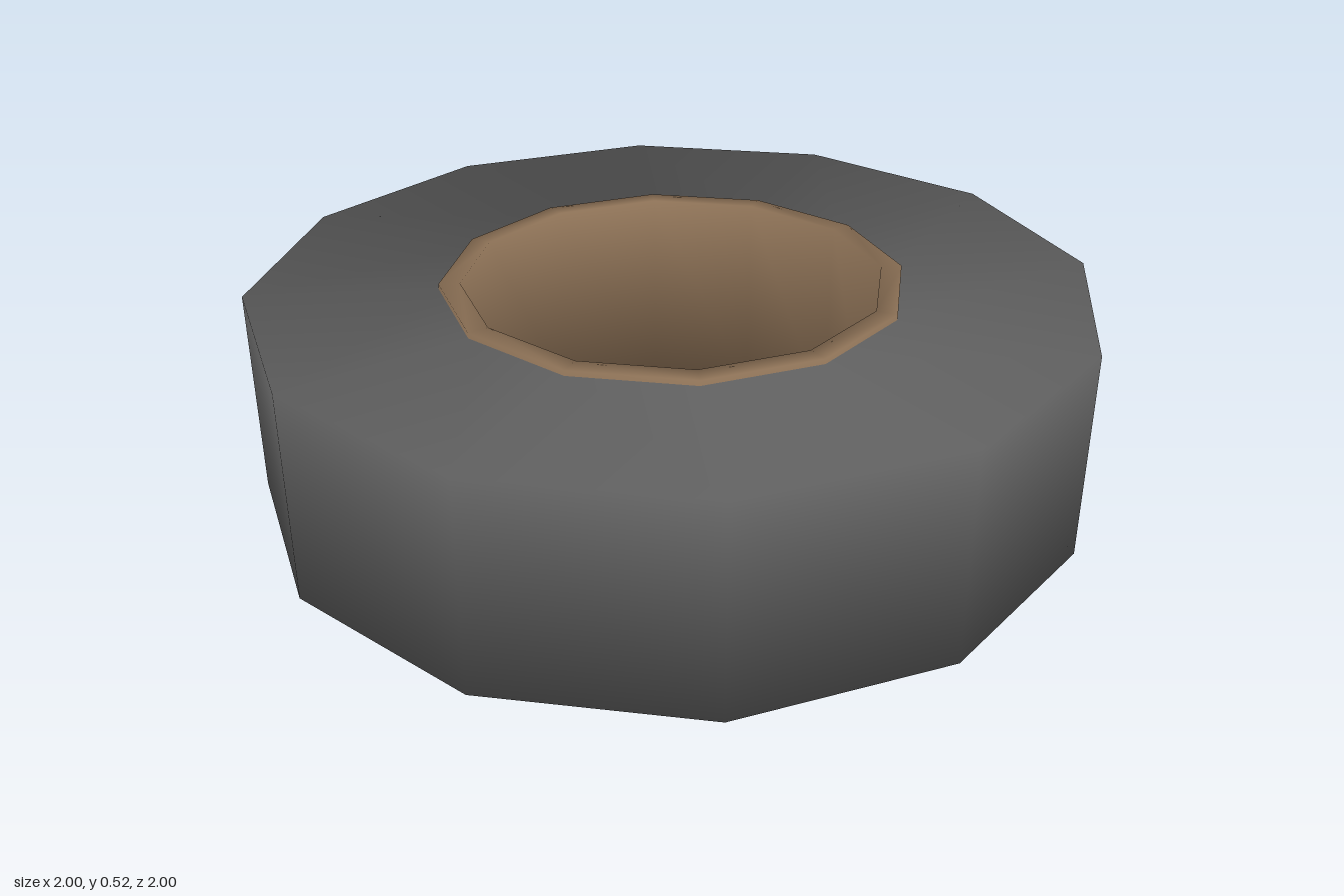
import * as THREE from 'three';

const SIDES = 12;

// Revolves a profile of [radius, y, normal sign outwards, normal sign upwards];
// the corners are shaded softly with 45 degree normals.
function softRing(name, profile, material) {
  const points = profile.map(([r, y]) => new THREE.Vector2(r, y));
  const geometry = new THREE.LatheGeometry(points, SIDES);
  const normals = geometry.attributes.normal;
  for (let i = 0; i <= SIDES; i++) {
    const a = (i / SIDES) * Math.PI * 2;
    profile.forEach(([, , out, up], j) => {
      const k = Math.SQRT1_2;
      normals.setXYZ(i * profile.length + j, out * k * Math.sin(a), up * k, out * k * Math.cos(a));
    });
  }
  const mesh = new THREE.Mesh(geometry, material);
  mesh.name = name;
  return mesh;
}

export function createModel() {
  const rubber = new THREE.MeshStandardMaterial({ color: 0x5e5e5e });
  rubber.name = 'grey rubber';
  const tan = new THREE.MeshStandardMaterial({ color: 0x8b7055 });
  tan.name = 'tan lining';

  const group = new THREE.Group();
  group.name = 'ring';

  // Thick outer ring, whose hole is covered by the lining
  group.add(softRing('outerRing', [
    [0.52, 0.0125, 1, -1],
    [1, 0.0125, 1, -1],
    [1, 0.5125, 1, 1],
    [0.52, 0.5125, 1, 1],
  ], rubber));

  // Thin lining that stands slightly proud at the top and bottom
  group.add(softRing('innerLining', [
    [0.5, 0, -1, -1],
    [0.55, 0, 1, -1],
    [0.55, 0.525, 1, 1],
    [0.5, 0.525, -1, 1],
    [0.5, 0, -1, -1],
  ], tan));

  return group;
}
